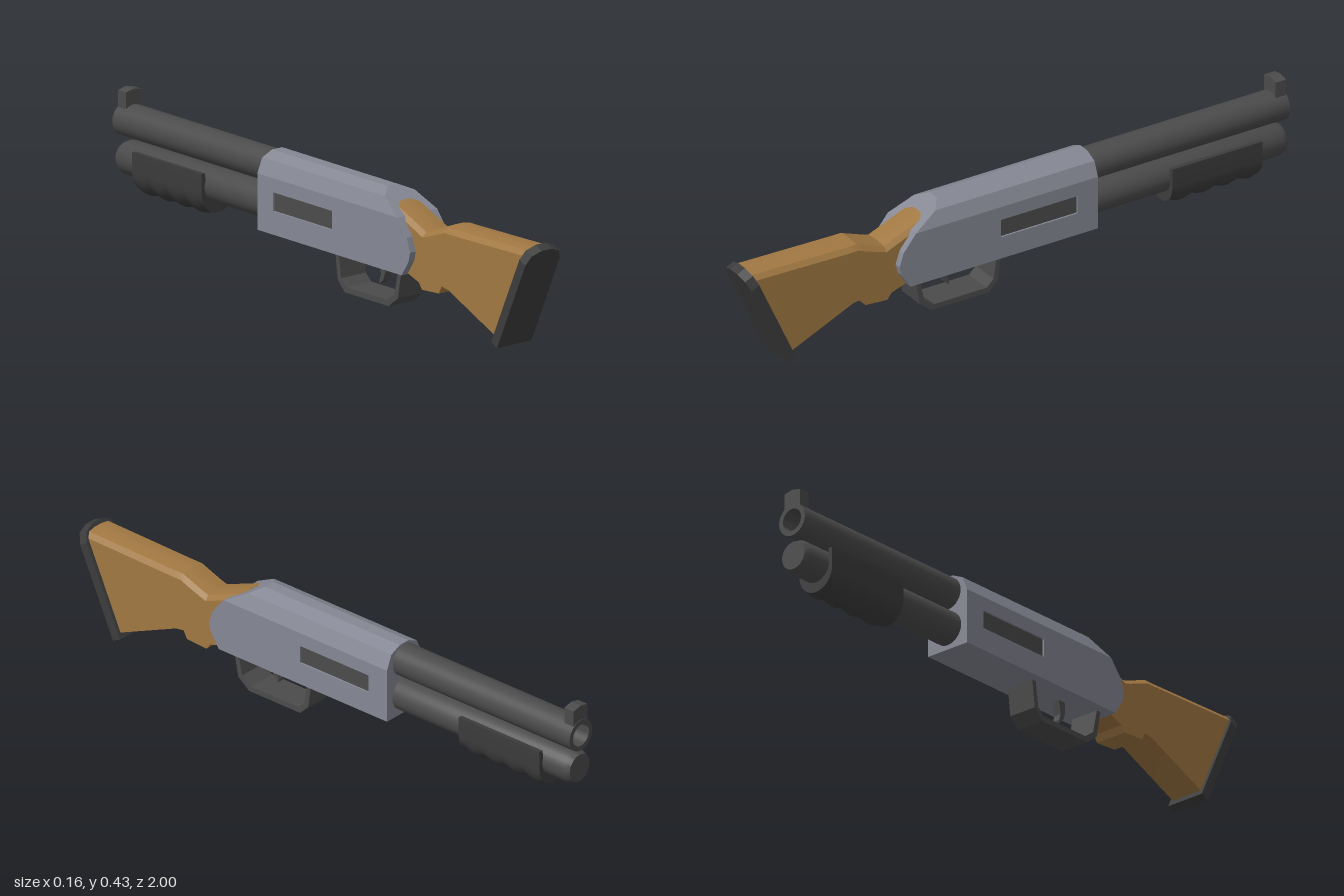
import * as THREE from 'three';
import { toCreasedNormals } from 'three/addons/utils/BufferGeometryUtils.js';
import { ConvexGeometry } from 'three/addons/geometries/ConvexGeometry.js';

const material = (name, color) => {
  const m = new THREE.MeshStandardMaterial({ color });
  m.name = name;
  return m;
};

// Side outline in (z, y), extruded across x and centred on x
function sideExtrude(points, width, x = 0, hole = null) {
  const toVectors = (list) => list.map(([z, y]) => new THREE.Vector2(z, y));
  const shape = new THREE.Shape(toVectors(points));
  if (hole) shape.holes.push(new THREE.Path(toVectors(hole)));
  const g = new THREE.ExtrudeGeometry(shape, { depth: width, bevelEnabled: false });
  return g.rotateY(-Math.PI / 2).translate(x + width / 2, 0, 0);
}

// Skin over rings of [x, y, z], counter-clockwise seen from +z, ordered by rising z
function loft(rings, crease) {
  const n = rings[0].length;
  const index = [];
  for (let i = 0; i < rings.length - 1; i++) {
    for (let j = 0; j < n; j++) {
      const k = (j + 1) % n;
      const a = i * n + j, b = i * n + k, c = a + n, d = b + n;
      index.push(a, b, d, a, d, c);
    }
  }
  const last = (rings.length - 1) * n;
  const flat = rings[0].map(([x, y]) => new THREE.Vector2(x, y));
  for (const [a, b, c] of THREE.ShapeUtils.triangulateShape(flat, [])) {
    index.push(c, b, a, last + a, last + b, last + c);
  }
  const g = new THREE.BufferGeometry();
  g.setAttribute('position', new THREE.Float32BufferAttribute(rings.flat(2), 3));
  g.setIndex(index);
  return toCreasedNormals(g, crease);
}

// Turned part: profile of [radius, distance towards the muzzle]
function turned(profile, y) {
  const g = new THREE.LatheGeometry(profile.map(([r, d]) => new THREE.Vector2(r, d)), 28);
  return toCreasedNormals(g.rotateX(-Math.PI / 2), 0.5).translate(0, y, 0);
}

// Convex block from points on the +x side, mirrored to -x
const mirroredHull = (points) => new ConvexGeometry(
  points.flatMap(([x, y, z]) => [new THREE.Vector3(x, y, z), new THREE.Vector3(-x, y, z)]));

export function createModel() {
  const group = new THREE.Group();
  const steel = material('receiver grey', 0x858894);
  const gunmetal = material('barrel grey', 0x4b4b4b);
  const rubber = material('dark grey', 0x3c3c3c);
  const wood = material('wood', 0xa17842);
  const add = (name, geometry, mat) => {
    const mesh = new THREE.Mesh(geometry, mat);
    mesh.name = name;
    group.add(mesh);
    return mesh;
  };

  // Receiver: core, side plates with a slot, chamfered roof
  const body = [[-0.28, 0.14], [0.405, 0.14], [0.438, 0.19], [0.445, 0.22], [0.43, 0.265], [0.385, 0.32], [-0.28, 0.32]];
  const slot = [[-0.205, 0.215], [-0.205, 0.275], [0.075, 0.275], [0.075, 0.215]];
  add('receiverCore', sideExtrude(body, 0.144), steel);
  for (const side of [1, -1]) {
    const label = side > 0 ? 'Left' : 'Right';
    add('receiverSide' + label, sideExtrude(body, 0.008, side * 0.076, slot), steel);
    add('slot' + label, sideExtrude([...slot].reverse(), 0.002, side * 0.073), gunmetal);
  }
  add('receiverRoof', mirroredHull([
    [0.08, 0.32, -0.28], [0.06, 0.367, -0.28], [0.02, 0.385, -0.28],
    [0.08, 0.32, 0.385], [0.06, 0.367, 0.302], [0.02, 0.385, 0.27],
  ]), steel);

  // Barrel with open bore, magazine tube with chamfered end
  add('barrel', turned([[0.053, 0.25], [0.053, 1], [0.037, 1], [0.037, 0.88], [0, 0.88]], 0.328), gunmetal);
  add('magazineTube', turned([[0.055, 0.25], [0.055, 0.975], [0.046, 0.994], [0, 0.994]], 0.21), gunmetal);

  // Front sight with a peaked top
  add('frontSight', mirroredHull([-0.96, -0.998].flatMap((z) => [[0.032, 0.365, z], [0.032, 0.424, z], [0, 0.431, z]])), gunmetal);

  // Forearm: U-shaped shell with a rippled underside
  const forearmRings = [];
  const steps = 32;
  for (let i = 0; i <= steps; i++) {
    const t = i / steps;
    const bottom = 0.127 - 0.016 * Math.abs(Math.sin(t * Math.PI * 4 + 0.35));
    const z = -0.89 + 0.33 * t;
    const ring = [];
    for (let k = 0; k <= 12; k++) {
      const a = Math.PI * (1 + k / 12);
      ring.push([0.067 * Math.cos(a), 0.19 + (0.19 - bottom) * Math.sin(a), z]);
    }
    ring.push([0.067, 0.255, z], [0.053, 0.255, z], [0.05, 0.2, z], [-0.05, 0.2, z], [-0.053, 0.255, z], [-0.067, 0.255, z]);
    forearmRings.push(ring);
  }
  add('forearm', loft(forearmRings, 0.5), rubber);

  // Stock: stations of [top z, top y, bottom z, bottom y]
  const stations = [
    [0.33, 0.352, 0.36, 0.16], [0.48, 0.292, 0.46, 0.125], [0.5, 0.298, 0.475, 0.105],
    [0.56, 0.32, 0.555, 0.11], [0.58, 0.328, 0.568, 0.135], [0.62, 0.328, 0.6, 0.13], [0.978, 0.335, 0.832, 0.028],
  ];
  add('stock', loft(stations.map(([zt, yt, zb, yb]) => {
    const at = (x, y) => [x, y, zb + (zt - zb) * (y - yb) / (yt - yb)];
    return [at(-0.057, yb), at(0.057, yb), at(0.057, yt - 0.02), at(0.044, yt - 0.004), at(0.015, yt),
      at(-0.015, yt), at(-0.044, yt - 0.004), at(-0.057, yt - 0.02)];
  }), 0.35), wood);

  // Slanted butt plate
  const plate = [[0.069, 0], [0.069, 0.29], [0.055, 0.32], [0.02, 0.333]];
  add('buttPlate', mirroredHull(plate.flatMap(([x, y]) => {
    const z = 0.845 + 0.463 * y;
    return [[x, y, z], [x, y + 0.014, z - 0.028]];
  })), rubber);

  // Trigger guard and trigger
  add('triggerGuard', sideExtrude([
    [0.37, 0.145], [0.352, 0.05], [0.308, 0.016], [0.1, 0.016], [0.066, 0.05], [0.054, 0.145],
    [0.07, 0.145], [0.082, 0.057], [0.108, 0.034], [0.3, 0.034], [0.336, 0.06], [0.354, 0.145],
  ], 0.1), gunmetal);
  add('trigger', sideExtrude([
    [0.246, 0.145], [0.248, 0.105], [0.24, 0.08], [0.222, 0.063], [0.22, 0.072], [0.228, 0.095], [0.218, 0.145],
  ], 0.026), gunmetal);

  return group;
}
